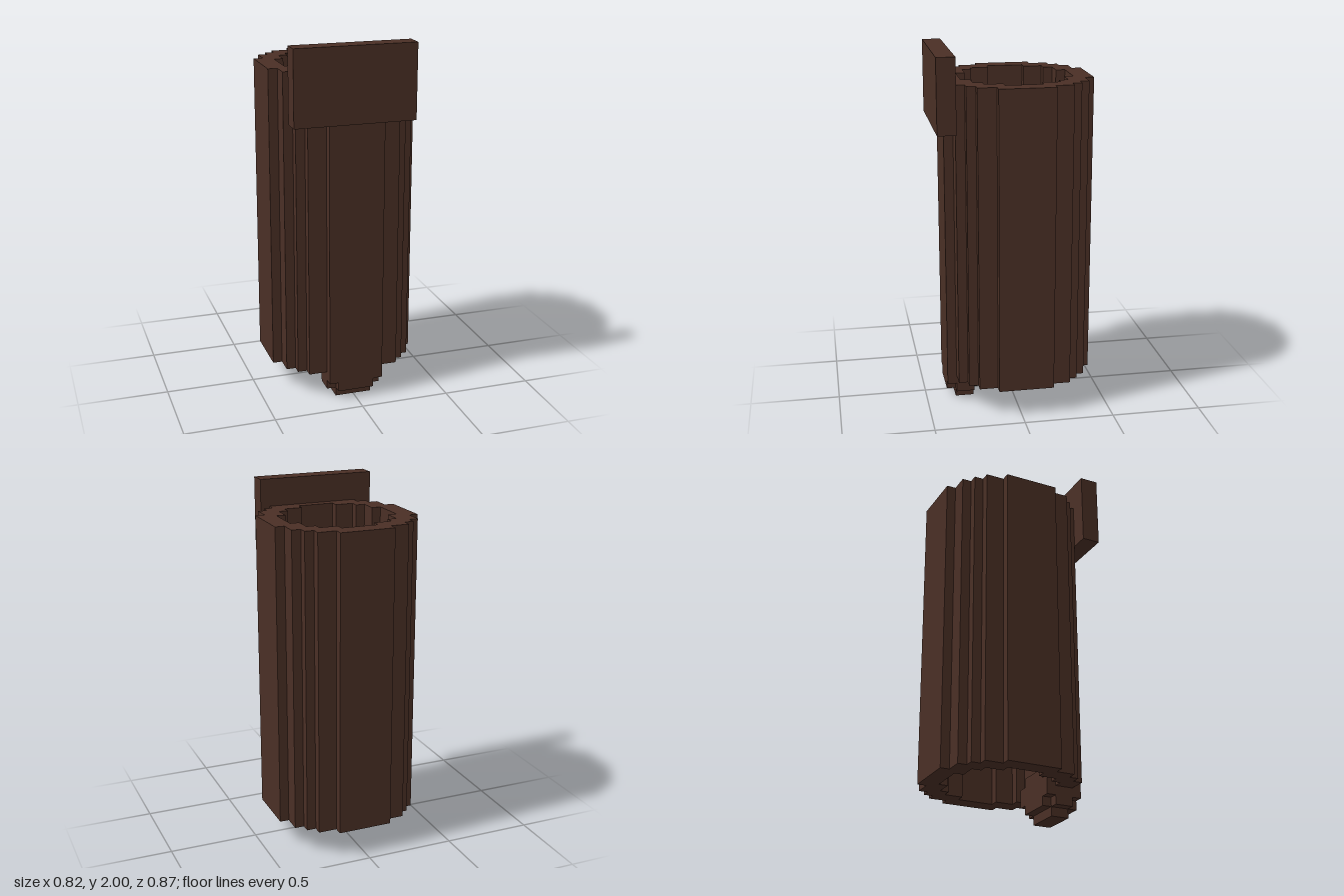
import * as THREE from 'three';

const U = 2 / 39; // one block

const bark = new THREE.MeshStandardMaterial({ color: 0x4a2f25 });
bark.name = 'darkBrown';

// Closed stepped ring of points from quarter steps [half width, depth it reaches]
function steppedOutline(steps, centre) {
  const quarter = [];
  let from = 0;
  steps.forEach(([w, d], i) => {
    if (i > 0) quarter.push([w, from]);
    quarter.push([w, d]);
    from = d;
  });
  const back = [...quarter].reverse();
  return [
    ...quarter,
    ...back.map(([x, z]) => [-x, z]),
    ...quarter.map(([x, z]) => [-x, -z]),
    ...back.map(([x, z]) => [x, -z]),
  ].map(([x, z]) => new THREE.Vector2(x * U, (z + centre) * U));
}

// Box given by its block limits
function block(name, x0, x1, y0, y1, z0, z1) {
  const mesh = new THREE.Mesh(
    new THREE.BoxGeometry((x1 - x0) * U, (y1 - y0) * U, (z1 - z0) * U), bark);
  mesh.position.set((x0 + x1) / 2 * U, (y0 + y1) / 2 * U, (z0 + z1) / 2 * U);
  mesh.name = name;
  return mesh;
}

export function createModel() {
  const model = new THREE.Group();
  model.name = 'hollowTube';

  // Open tube with stepped round walls
  const shape = new THREE.Shape(
    steppedOutline([[8, 3], [7, 5], [6, 6], [5, 7], [3, 8]], -0.5));
  shape.holes.push(new THREE.Path(
    steppedOutline([[6, 2], [5, 4], [4, 5], [2, 6]], -0.5)));
  const geometry = new THREE.ExtrudeGeometry(shape, { depth: 33 * U, bevelEnabled: false });
  geometry.rotateX(Math.PI / 2).translate(0, 36 * U, 0);
  const tube = new THREE.Mesh(geometry, bark);
  tube.name = 'tubeWall';
  model.add(tube);

  // Plate at the top of the front
  model.add(block('frontPlate', -7, 6, 31, 39, 6.5, 8.5));

  // Stepped round knob at the foot of the front wall
  const knob = new THREE.Group();
  knob.name = 'footKnob';
  knob.add(
    block('knobCore', -2, 2, 0, 6, 4.5, 6.5),
    block('knobDepth', -2, 2, 1, 5, 3.5, 7.5),
    block('knobWidth', -3, 3, 1, 5, 4.5, 6.5),
    block('knobMiddle', -3, 3, 2, 4, 3.5, 7.5));
  model.add(knob);

  return model;
}
